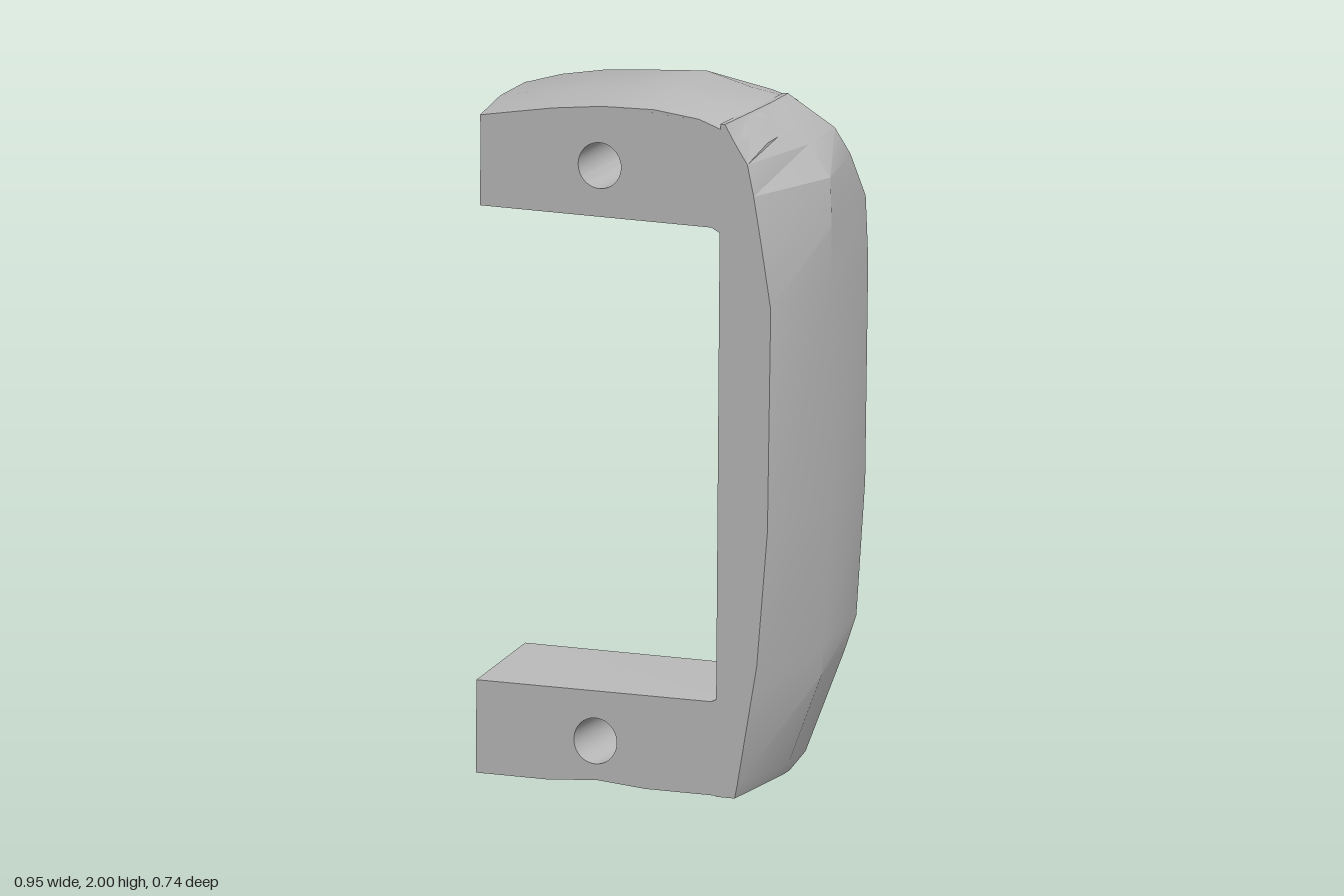
import * as THREE from 'three';
import { toCreasedNormals } from 'three/addons/utils/BufferGeometryUtils.js';

const FRONT = (y) => 0.375 - 0.018 * y; // the front face leans back slightly
const BACK = 0.03; // rear face of both arms
const INNER = 0.266; // inner wall of the grip

// Closed solid through matching rings of points, wound counter-clockwise seen from the last ring.
function loft(rings) {
  const n = rings[0].length;
  const index = [];
  for (let r = 0; r < rings.length - 1; r++) {
    for (let i = 0; i < n; i++) {
      const a = r * n + i, b = r * n + (i + 1) % n;
      index.push(a, b, b + n, a, b + n, a + n);
    }
  }
  const top = (rings.length - 1) * n;
  for (let i = 1; i < n - 1; i++) {
    index.push(0, i + 1, i, top, top + i, top + i + 1);
  }
  const geo = new THREE.BufferGeometry();
  geo.setAttribute('position', new THREE.Float32BufferAttribute(rings.flat(2), 3));
  geo.setIndex(index);
  return toCreasedNormals(geo, 0.4);
}

// Arm profile with a round screw hole, extruded in z and then bent by a rule.
function armGeometry(outline, holeY, bend) {
  const shape = new THREE.Shape(outline.map(([x, y]) => new THREE.Vector2(x, y)));
  const hole = new THREE.Path();
  hole.absarc(-0.105, holeY, 0.066, 0, Math.PI * 2, true);
  shape.holes.push(hole);
  const geo = new THREE.ExtrudeGeometry(shape, { depth: 1, bevelEnabled: false, curveSegments: 20 });
  const p = geo.attributes.position;
  for (let i = 0; i < p.count; i++) {
    const y = p.getY(i), isFront = p.getZ(i) > 0.5;
    p.setZ(i, isFront ? FRONT(y) : BACK);
    if (!isFront) p.setY(i, bend(y));
  }
  return toCreasedNormals(geo, 0.4);
}

export function createModel() {
  const model = new THREE.Group();
  const grey = new THREE.MeshStandardMaterial({ color: 0xb8b8b8 });
  grey.name = 'grey';
  const add = (name, geo) => {
    const mesh = new THREE.Mesh(geo, grey);
    mesh.name = name;
    model.add(mesh);
  };

  // Upright: height, outer x at the front, middle and back, and the back z
  const levels = [
    [0.005, 0.325, 0.325, 0.32, -0.02],
    [0.04, 0.332, 0.34, 0.325, -0.12],
    [0.30, 0.375, 0.44, 0.37, -0.29],
    [0.39, 0.39, 0.446, 0.38, -0.35],
    [0.78, 0.42, 0.47, 0.405, -0.355],
    [1.42, 0.425, 0.472, 0.41, -0.365],
    [1.60, 0.395, 0.472, 0.40, -0.37],
    [1.74, 0.37, 0.468, 0.395, -0.275],
    [1.83, 0.35, 0.40, 0.38, -0.2],
    [1.89, 0.31, 0.345, 0.33, -0.14],
    [1.94, 0.28, 0.285, 0.28, -0.1],
  ];
  add('uprightGrip', loft(levels.map(([y, xf, xm, xb, zb]) => [
    [INNER, y, FRONT(y)], [xf, y, FRONT(y)], [xm, y, 0.03], [xb, y, zb], [INNER, y, zb],
  ])));

  // Lower arm, its upper face rising toward the back
  add('lowerArm', armGeometry(
    [[-0.472, 0.008], [-0.25, 0.008], [-0.1, 0.02], [0.05, 0.008], [0.28, 0.008],
      [0.28, 0.29], [0.25, 0.277], [-0.472, 0.275]],
    0.132, (y) => (y > 0.25 ? 0.312 : y)));

  // Upper arm under the cover
  add('upperArm', armGeometry(
    [[-0.472, 1.64], [0.24, 1.64], [0.28, 1.62], [0.28, 1.92], [0.2, 1.945],
      [-0.05, 1.96], [-0.3, 1.93], [-0.472, 1.9]],
    1.787, (y) => (y < 1.65 ? 1.626 : y)));

  // Cover: x, front y, ridge y, back z and back y, forming a thin rear overhang
  const stations = [
    [-0.474, 1.90, 1.93, 0.025, 1.93],
    [-0.385, 1.916, 1.95, -0.17, 1.925],
    [-0.25, 1.94, 1.975, -0.2, 1.93],
    [-0.1, 1.958, 1.988, -0.205, 1.93],
    [0.06, 1.963, 2.0, -0.187, 1.935],
    [0.2, 1.948, 1.965, -0.17, 1.93],
    [0.28, 1.92, 1.935, -0.163, 1.91],
    [0.35, 1.83, 1.875, -0.155, 1.85],
  ];
  add('topCover', loft(stations.map(([x, yf, yr, zb, yb]) => [
    [x, yf, FRONT(yf)],
    [x, yf - 0.02, FRONT(yf)],
    [x, yr - 0.045, 0.03],
    [x, yb - 0.02, zb],
    [x, yb, zb],
    [x, yr, Math.max(zb + 0.005, -0.03)],
    [x, (yf + yr) / 2 + 0.012, 0.2],
  ].reverse())));

  // Turn any inside-out solid the right way round
  model.traverse((o) => {
    if (!o.isMesh) return;
    const p = o.geometry.attributes.position;
    const [a, b, c] = [0, 1, 2].map(() => new THREE.Vector3());
    let volume = 0;
    for (let i = 0; i < p.count; i += 3) {
      a.fromBufferAttribute(p, i); b.fromBufferAttribute(p, i + 1); c.fromBufferAttribute(p, i + 2);
      volume += a.dot(b.cross(c));
    }
    if (volume > 0) return;
    for (let i = 0; i < p.count; i += 3) {
      b.fromBufferAttribute(p, i + 1); c.fromBufferAttribute(p, i + 2);
      p.setXYZ(i + 1, c.x, c.y, c.z);
      p.setXYZ(i + 2, b.x, b.y, b.z);
    }
    o.geometry = toCreasedNormals(o.geometry, 0.4);
  });
  return model;
}
